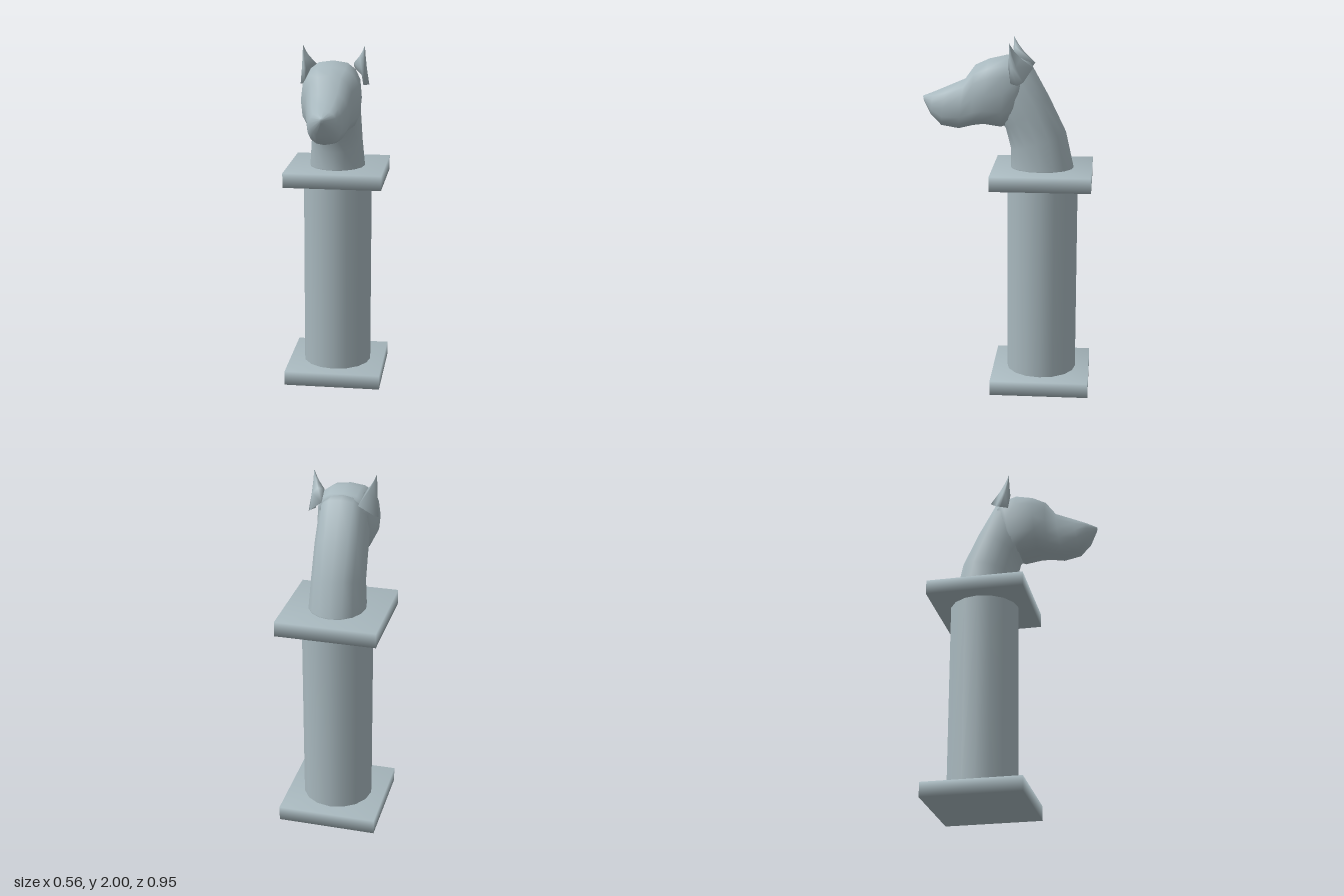
import * as THREE from 'three';
import { mergeVertices } from 'three/addons/utils/BufferGeometryUtils.js';

const stone = new THREE.MeshStandardMaterial({ color: 0xa8b8be });
stone.name = 'grey stone';

// Joins equal-length loops of points into a closed smooth skin.
function loft(loops) {
  const n = loops[0].length;
  const points = loops.flat();
  const index = [];
  for (let i = 0; i < loops.length - 1; i++) {
    for (let j = 0; j < n; j++) {
      const k = (j + 1) % n;
      const a = i * n + j, a1 = i * n + k, b = a + n, b1 = a1 + n;
      index.push(a, b, b1, a, b1, a1);
    }
  }
  const centre = (loop) => loop.reduce((s, p) => s.add(p), new THREE.Vector3()).divideScalar(n);
  const last = (loops.length - 1) * n;
  const start = points.length;
  points.push(centre(loops[0]), centre(loops[loops.length - 1]));
  for (let j = 0; j < n; j++) {
    const k = (j + 1) % n;
    index.push(start, j, k, start + 1, last + k, last + j);
  }
  const g = new THREE.BufferGeometry().setFromPoints(points);
  g.setIndex(index);
  g.computeVertexNormals();
  return g;
}

// Rounded cross-section spanning two centre-line points [z, y]; power > 2 is squarer.
function section([z0, y0, z1, y1, halfWidth, power = 2], sides = 16) {
  const soften = (v) => Math.sign(v) * Math.pow(Math.abs(v), 2 / power);
  return Array.from({ length: sides }, (_, i) => {
    const a = (i / sides) * Math.PI * 2;
    const t = (1 - soften(Math.cos(a))) / 2;
    return new THREE.Vector3(halfWidth * soften(Math.sin(a)), y0 + (y1 - y0) * t, z0 + (z1 - z0) * t);
  });
}

// Square slab whose corners share softened normals.
function slabGeometry() {
  const g = new THREE.BoxGeometry(0.56, 0.084, 0.56);
  g.deleteAttribute('normal');
  g.deleteAttribute('uv');
  const merged = mergeVertices(g);
  merged.computeVertexNormals();
  return merged;
}

// Pointed ear: an uneven base loop tapering in a hollow curve to the tip.
function earGeometry(side) {
  const base = [
    [0.10, 1.86, -0.15], [0.18, 1.79, -0.10], [0.195, 1.775, -0.07],
    [0.165, 1.78, -0.03], [0.155, 1.87, -0.018], [0.11, 1.90, -0.05],
  ];
  const tip = [0.173, 2.0, -0.024];
  const loops = [[1, 1], [0.6, 0.48], [0.3, 0.2], [0, 0]].map(([fy, fxz]) => {
    const loop = base.map((p) => new THREE.Vector3(
      side * (tip[0] + (p[0] - tip[0]) * fxz),
      tip[1] + (p[1] - tip[1]) * fy,
      tip[2] + (p[2] - tip[2]) * fxz,
    ));
    return side > 0 ? loop : loop.reverse();
  });
  return loft(loops);
}

export function createModel() {
  const group = new THREE.Group();
  group.name = 'hitchingPost';
  const add = (name, geometry, y = 0, z = 0) => {
    const mesh = new THREE.Mesh(geometry, stone);
    mesh.name = name;
    mesh.position.set(0, y, z);
    group.add(mesh);
  };

  // Pedestal
  add('baseSlab', slabGeometry(), 0.042, -0.2);
  add('column', new THREE.CylinderGeometry(0.2, 0.2, 1.14, 16, 1, true), 0.64, -0.2);
  add('topSlab', slabGeometry(), 1.243, -0.2);

  // Neck: back point, throat point, half width, squareness
  add('neck', loft([
    [-0.385, 1.26, -0.02, 1.26, 0.16],
    [-0.375, 1.29, -0.02, 1.29, 0.16],
    [-0.33, 1.49, -0.02, 1.39, 0.148, 2.2],
    [-0.235, 1.685, 0.01, 1.51, 0.145, 2.4],
    [-0.13, 1.875, 0.07, 1.58, 0.14, 2.6],
    [-0.06, 1.9, 0.08, 1.62, 0.12, 2.6],
  ].map((s) => section(s))));

  // Head: crown point, jaw point, half width, squareness
  add('head', loft([
    [-0.125, 1.865, -0.06, 1.62, 0.125, 2.6],
    [-0.08, 1.895, -0.015, 1.535, 0.152, 2.7],
    [0.0, 1.918, 0.03, 1.515, 0.162, 2.7],
    [0.1, 1.895, 0.13, 1.53, 0.165, 2.6],
    [0.178, 1.86, 0.19, 1.52, 0.132, 2.6],
    [0.235, 1.782, 0.27, 1.5, 0.116, 2.4],
    [0.34, 1.737, 0.37, 1.517, 0.095, 2.4],
    [0.41, 1.707, 0.43, 1.58, 0.073, 2.3],
    [0.475, 1.682, 0.468, 1.65, 0.012],
  ].map((s) => section(s))));

  // Ears
  add('leftEar', earGeometry(1));
  add('rightEar', earGeometry(-1));

  return group;
}
